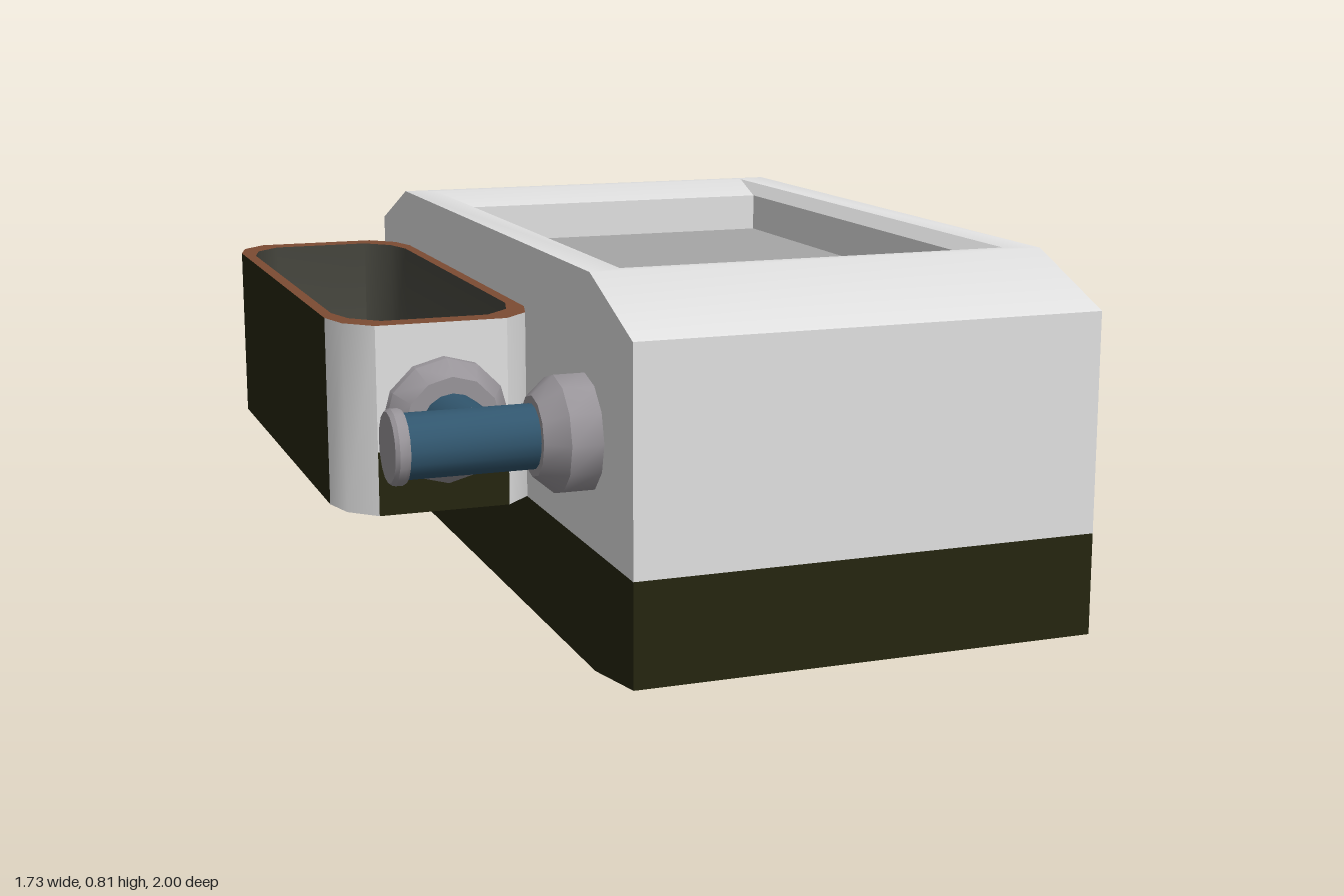
import * as THREE from 'three';
import { toCreasedNormals } from 'three/addons/utils/BufferGeometryUtils.js';

const mat = (name, color, side = THREE.FrontSide) => {
  const m = new THREE.MeshStandardMaterial({ color, side });
  m.name = name;
  return m;
};

// Closed outline at height y, counter-clockwise from above; corner lists insets from front to side
function outline(cx, cz, hw, hl, y, corner = [[0, 0]]) {
  const back = [...corner].reverse();
  const at = (sx, sz, list) => list.map(([a, b]) => [cx + sx * (hw - a), y, cz + sz * (hl - b)]);
  return [...at(1, 1, corner), ...at(1, -1, back), ...at(-1, -1, corner), ...at(-1, 1, back)];
}

// Skin between successive outlines; keep() picks which segments are built
function skin(rings, keep = () => true, crease = 0.5) {
  const pos = [];
  for (let r = 0; r < rings.length - 1; r++) {
    const a = rings[r], b = rings[r + 1], n = a.length;
    for (let i = 0; i < n; i++) {
      if (!keep(i)) continue;
      const j = (i + 1) % n;
      pos.push(...a[i], ...a[j], ...b[j], ...a[i], ...b[j], ...b[i]);
    }
  }
  const g = new THREE.BufferGeometry();
  g.setAttribute('position', new THREE.Float32BufferAttribute(pos, 3));
  return toCreasedNormals(g, crease);
}

// Flat face filling an outline, with optional holes, facing up or down
function plate(ring, holes = [], down = false) {
  const s = down ? 1 : -1;
  const flat = (pts) => pts.map(([x, , z]) => new THREE.Vector2(x, s * z));
  const shape = new THREE.Shape(flat(ring));
  shape.holes = holes.map((h) => new THREE.Path(flat(h)));
  return new THREE.ShapeGeometry(shape).rotateX(s * Math.PI / 2).translate(0, ring[0][1], 0);
}

// Turned part from [radius, distance] pairs
function turned(profile, sides = 12, crease = 0.6) {
  const pts = profile.map(([r, t]) => new THREE.Vector2(r, t));
  return toCreasedNormals(new THREE.LatheGeometry(pts, sides), crease);
}

export function createModel() {
  const white = mat('casing white', 0xe0e0e0);
  const olive = mat('dark olive', 0x25250f);
  const panel = mat('panel grey', 0xa6a6a6);
  const metal = mat('fitting grey', 0x989499);
  const red = mat('pipe red', 0x96302a);
  const blue = mat('pipe blue', 0x31566e);
  const brown = mat('rim brown', 0x7c4b33);
  const lining = mat('tank lining', 0x46463e);
  const gold = mat('contact gold', 0xe6b41e, THREE.DoubleSide);

  const model = new THREE.Group();
  const group = (name) => {
    const g = new THREE.Group();
    g.name = name;
    model.add(g);
    return g;
  };
  const add = (parent, name, geo, material) => {
    const m = new THREE.Mesh(geo, material);
    m.name = name;
    parent.add(m);
    return m;
  };

  // Main casing with sloped ends and a sunken top panel
  const body = group('body');
  const CX = 0.0775, HW = 0.4975;
  const rect = (hw, hl, y) => outline(CX, 0, hw, hl, y);
  add(body, 'upperCasing', skin([
    rect(HW, 1, 0.25), rect(HW, 1, 0.71), rect(HW, 0.75, 0.805),
    rect(0.425, 0.72, 0.805), rect(0.4, 0.57, 0.778), rect(0.4, 0.57, 0.69),
  ]), white);
  add(body, 'topPanel', plate(rect(0.4, 0.57, 0.69)), panel);
  add(body, 'lowerCasing', skin([rect(HW, 0.77, 0), rect(HW, 1, 0.035), rect(HW, 1, 0.25)], undefined, 0.1), olive);

  // Underside bay with three contact sockets
  const chamfer = [[0.07, 0], [0, 0.06]];
  const bay = (y) => outline(CX, 0, 0.485, 0.52, y, chamfer);
  add(body, 'underside', plate(rect(HW, 0.77, 0), [bay(0)], true), olive);
  add(body, 'bayWall', skin([bay(0.2), bay(0)]), white);
  const sockets = [-0.13, 0.12, 0.37];
  add(body, 'bayCeiling', plate(bay(0.2), sockets.map((z) => outline(-0.24, z, 0.045, 0.045, 0.2)), true), panel);
  for (const z of sockets) {
    const g = new THREE.ConeGeometry(0.045 * Math.SQRT2, 0.05, 4, 1, true).toNonIndexed();
    g.computeVertexNormals();
    g.rotateY(Math.PI / 4).translate(-0.24, 0.225, z);
    add(body, 'contactSocket', g, gold);
  }

  // Open side tank
  const tank = group('tank');
  const round = [[0.075, 0], [0.02, 0.055], [0, 0.13]];
  const TX = -0.6525, TZ = -0.1325;
  const outer = (y) => outline(TX, TZ, 0.2125, 0.6325, y, round);
  const inner = (y, dx = 0.025, dz = 0.055) => outline(TX, TZ, 0.2125 - dx, 0.6325 - dz, y, round);
  const FRONT = 11;
  add(tank, 'tankCorners', skin([outer(0.287), outer(0.68)], (i) => i % 3 < 2, 0.8), white);
  add(tank, 'tankSides', skin([outer(0.287), outer(0.68)], (i) => i % 3 === 2 && i !== FRONT), olive);
  add(tank, 'tankFrontLower', skin([outer(0.287), outer(0.42)], (i) => i === FRONT), olive);
  add(tank, 'tankFrontUpper', skin([outer(0.42), outer(0.68)], (i) => i === FRONT), white);
  add(tank, 'tankBottom', plate(outer(0.287), [], true), olive);
  add(tank, 'tankRim', plate(outer(0.68), [inner(0.68)]), brown);
  add(tank, 'tankLining', skin([inner(0.68), inner(0.37), inner(0.31, 0.08, 0.1)], undefined, 0.8), lining);
  add(tank, 'tankFloor', plate(inner(0.31, 0.08, 0.1)), lining);

  // Funnel inside the tank's front wall
  const funnel = add(tank, 'funnel', turned([[0.13, 0], [0.05, 0.145]], 10, 0.1), white);
  funnel.rotation.x = -Math.PI / 2;
  funnel.position.set(-0.65, 0.48, 0.445);
  const mouth = add(tank, 'funnelMouth', new THREE.CircleGeometry(0.05, 10), blue);
  mouth.rotation.y = Math.PI;
  mouth.position.set(-0.65, 0.48, 0.301);

  // Blue tee pipe joining the tank and the casing
  const tee = group('bluePipe');
  const PY = 0.48;
  const alongX = (parent, name, geo, material, x, z, dir) => {
    const m = add(parent, name, geo, material);
    m.rotation.z = -dir * Math.PI / 2;
    m.position.set(x, PY, z);
  };
  const alongZ = (parent, name, geo, material, x, z) => {
    const m = add(parent, name, geo, material);
    m.rotation.x = Math.PI / 2;
    m.position.set(x, PY, z);
  };
  const flange = () => turned([[0.12, 0], [0.12, 0.065], [0.082, 0.11], [0, 0.11]]);
  const endCap = () => turned([[0, 0], [0.072, 0], [0.076, 0.008], [0.076, 0.022], [0.07, 0.03], [0, 0.03]], 16);
  alongX(tee, 'teeFlange', flange(), metal, -0.42, 0.715, -1);
  alongX(tee, 'teeRun', turned([[0.066, 0], [0.066, 0.3]], 16), blue, -0.51, 0.715, -1);
  alongX(tee, 'teeEndCap', endCap(), metal, -0.79, 0.715, -1);
  alongZ(tee, 'teeBranch', turned([[0.066, 0], [0.066, 0.15]], 16), blue, -0.65, 0.56);
  alongZ(tee, 'tankFlange', turned([[0.13, 0], [0.13, 0.025], [0.1, 0.07], [0, 0.07]]), metal, -0.65, 0.5);

  // Red elbow pipe on the opposite side
  const elbow = group('redPipe');
  const v = (x, z) => new THREE.Vector3(x, PY, z);
  const path = new THREE.CurvePath();
  path.add(new THREE.LineCurve3(v(0.66, -0.722), v(0.69, -0.722)));
  path.add(new THREE.QuadraticBezierCurve3(v(0.69, -0.722), v(0.79, -0.722), v(0.79, -0.61)));
  path.add(new THREE.LineCurve3(v(0.79, -0.61), v(0.79, -0.455)));
  alongX(elbow, 'elbowFlange', flange(), metal, 0.575, -0.722, 1);
  add(elbow, 'elbowTube', new THREE.TubeGeometry(path, 24, 0.066, 16), red);
  alongZ(elbow, 'elbowEndCap', endCap(), metal, 0.79, -0.467);

  return model;
}
